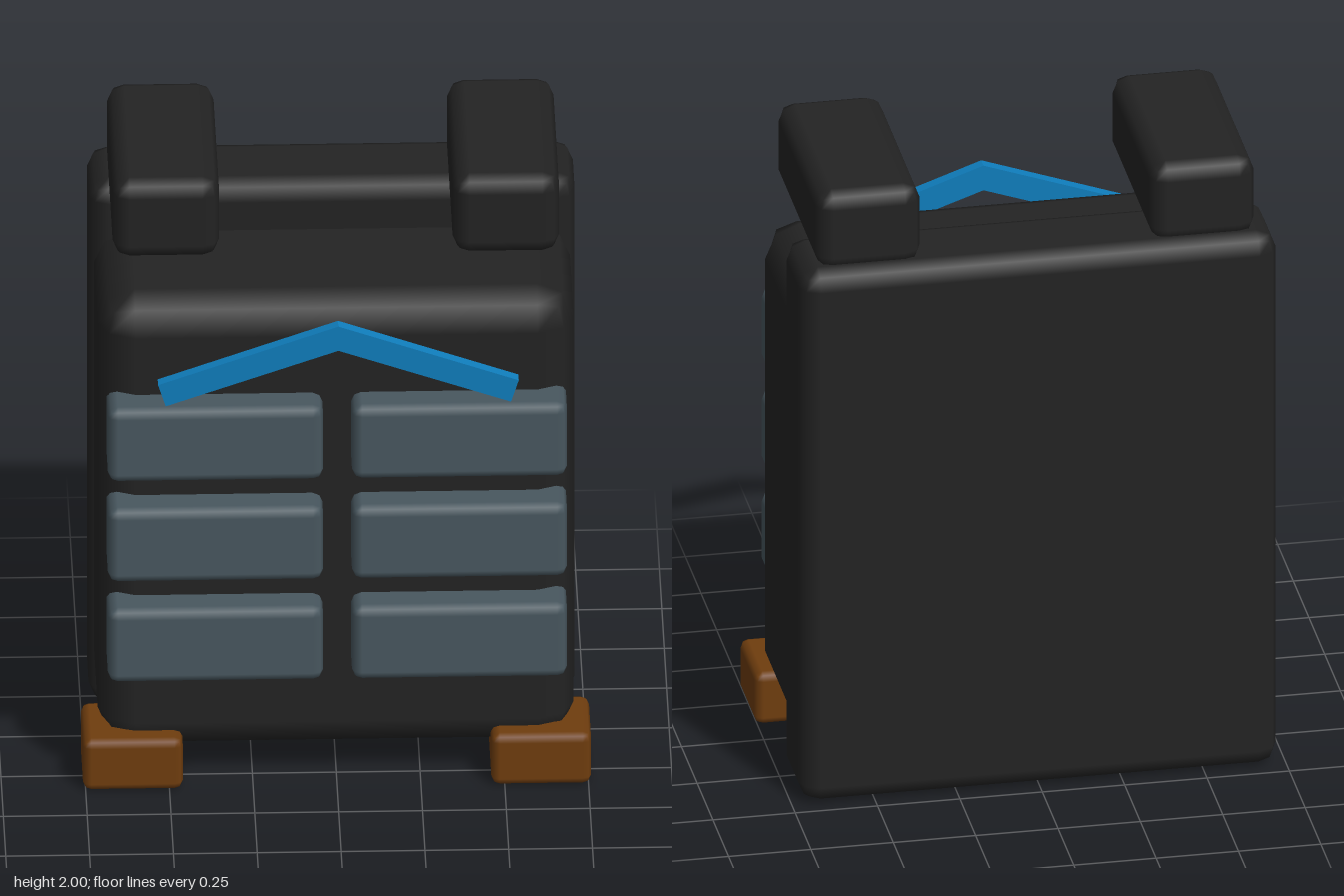
import * as THREE from 'three';
import { RoundedBoxGeometry } from 'three/addons/geometries/RoundedBoxGeometry.js';

const material = (name, color) => {
  const m = new THREE.MeshStandardMaterial({ color });
  m.name = name;
  return m;
};

export function createModel() {
  const group = new THREE.Group();
  const black = material('black', 0x232323);
  const slate = material('slate', 0x48575f);
  const brown = material('brown', 0x6f3d0e);
  const blue = material('blue', 0x0f7dbc);

  // Softly bevelled block given by its extents on each axis
  const block = (name, mat, [x0, x1], [y0, y1], [z0, z1], radius) => {
    const geometry = new RoundedBoxGeometry(x1 - x0, y1 - y0, z1 - z0, 1, radius);
    const mesh = new THREE.Mesh(geometry, mat);
    mesh.position.set((x0 + x1) / 2, (y0 + y1) / 2, (z0 + z1) / 2);
    mesh.name = name;
    group.add(mesh);
  };

  // Vest body and back plate
  block('chestBody', black, [-0.71, 0.71], [0.09, 1.613], [-0.4, 0.3], 0.11);
  block('backPlate', black, [-0.725, 0.725], [0, 1.766], [-0.472, -0.17], 0.06);

  // Shoulder straps, hip blocks and three rows of pouches, mirrored
  for (const [side, s] of [['left', 1], ['right', -1]]) {
    const span = (a, b) => (s > 0 ? [a, b] : [-b, -a]);
    block(side + 'ShoulderStrap', black, span(0.348, 0.666), [1.74, 2], [-0.418, 0.257], 0.05);
    block(side + 'HipBlock', brown, span(0.46, 0.758), [0, 0.17], [0.091, 0.356], 0.025);
    for (let row = 0; row < 3; row++) {
      const y = 0.388 + row * 0.339;
      block(side + 'Pouch' + (row + 1), slate, span(0.043, 0.685), [y, y + 0.247], [0.14, 0.405], 0.03);
    }
  }

  // Chevron bar in front of the chest
  const outline = [[0, 1.628], [-0.538, 1.438], [-0.515, 1.366], [0, 1.546], [0.515, 1.366], [0.538, 1.438]];
  const shape = new THREE.Shape(outline.map(([x, y]) => new THREE.Vector2(x, y)));
  const chevron = new THREE.Mesh(new THREE.ExtrudeGeometry(shape, { depth: 0.037, bevelEnabled: false }), blue);
  chevron.position.z = 0.436;
  chevron.name = 'chevron';
  group.add(chevron);

  return group;
}
